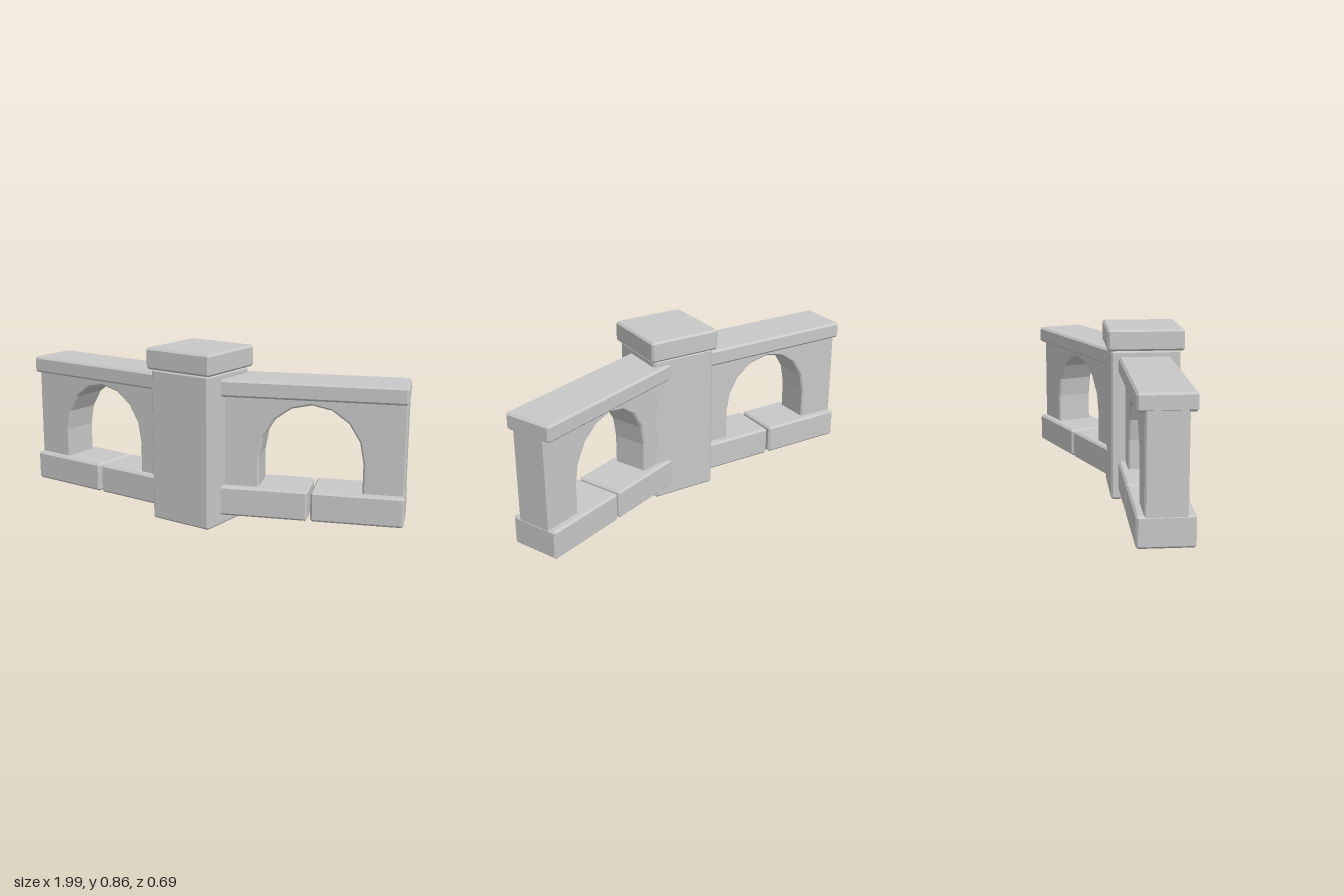
import * as THREE from 'three';
import { ConvexGeometry } from 'three/addons/geometries/ConvexGeometry.js';

const stone = new THREE.MeshStandardMaterial({ color: 0xc8c8c8 });
stone.name = 'grey stone';

// Box with every edge chamfered, centred on x and z, between heights y0 and y1
function block(name, width, y0, y1, depth, x = 0, z = 0, c = 0.01) {
  const half = [width / 2, (y1 - y0) / 2, depth / 2];
  const points = [];
  for (const sx of [-1, 1]) for (const sy of [-1, 1]) for (const sz of [-1, 1]) {
    for (let face = 0; face < 3; face++) {
      const p = half.map((h, i) => (i === face ? h : h - c));
      points.push(new THREE.Vector3(sx * p[0], sy * p[1], sz * p[2]));
    }
  }
  const mesh = new THREE.Mesh(new ConvexGeometry(points), stone);
  mesh.name = name;
  mesh.position.set(x, (y0 + y1) / 2, z);
  return mesh;
}

// Wall with an eight-sided arched opening that runs down to the base
function archWall(length, depth) {
  const bevel = 0.008, bottom = 0.15, top = 0.66;
  const shape = new THREE.Shape();
  shape.moveTo(-length / 2, bottom);
  shape.lineTo(-0.25, bottom);
  for (let i = 0; i <= 8; i++) {
    const a = Math.PI * (1 - i / 8);
    shape.lineTo(0.25 * Math.cos(a), 0.345 + 0.27 * Math.sin(a));
  }
  shape.lineTo(0.25, bottom);
  shape.lineTo(length / 2, bottom);
  shape.lineTo(length / 2, top);
  shape.lineTo(-length / 2, top);
  shape.closePath();
  const geometry = new THREE.ExtrudeGeometry(shape, {
    depth: depth - 2 * bevel, bevelEnabled: true, bevelSegments: 1,
    bevelSize: bevel, bevelThickness: bevel, bevelOffset: -bevel,
  });
  geometry.translate(0, 0, -depth / 2 + bevel);
  const mesh = new THREE.Mesh(geometry, stone);
  mesh.name = 'archWall';
  return mesh;
}

// One fence section: two base blocks, arched wall and top rail
function wing(name, x, z, angle) {
  const group = new THREE.Group();
  group.name = name;
  for (const side of [-1, 1]) {
    group.add(block('baseBlock', 0.443, 0.052, 0.199, 0.26, side * 0.2285));
  }
  group.add(archWall(0.896, 0.19));
  group.add(block('topRail', 0.9, 0.643, 0.726, 0.26));
  group.position.set(x, 0, z);
  group.rotation.y = angle;
  return group;
}

export function createModel() {
  const model = new THREE.Group();
  model.name = 'cornerFence';

  // Corner pillar with its cap
  model.add(block('pillar', 0.342, 0, 0.757, 0.342, 0.012, 0.159));
  model.add(block('pillarCap', 0.378, 0.757, 0.862, 0.378, 0.012, 0.159));

  // Straight section and the section turned back by an eighth of a half turn
  model.add(wing('rightWing', -0.55, 0.155, 0));
  model.add(wing('leftWing', 0.532, -0.057, Math.PI / 8));
  return model;
}
